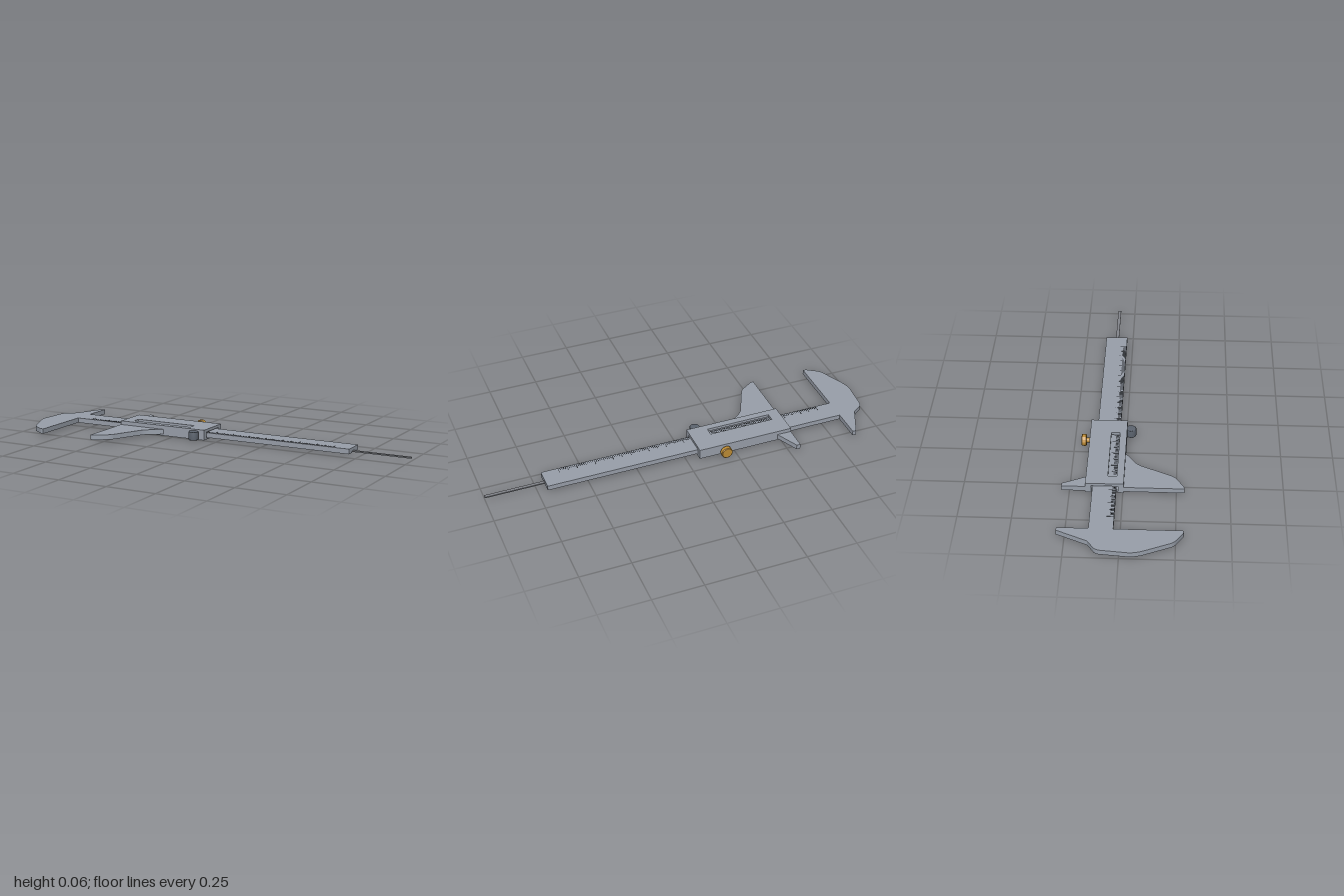
import * as THREE from 'three';
import { mergeGeometries } from 'three/addons/utils/BufferGeometryUtils.js';

const mat = (name, color) => {
  const m = new THREE.MeshStandardMaterial({ color });
  m.name = name;
  return m;
};

export function createModel() {
  const steel = mat('steel', 0x99a0ab);
  const darkSteel = mat('dark steel', 0x5d6570);
  const rodSteel = mat('rod steel', 0x83868c);
  const brass = mat('brass', 0xbd8c35);
  const ink = mat('scale ink', 0x24262a);

  const model = new THREE.Group();
  model.name = 'caliper';
  const add = (name, geometry, material, parent = model) => {
    const mesh = new THREE.Mesh(geometry, material);
    mesh.name = name;
    parent.add(mesh);
    return mesh;
  };
  // Box given by its limits on each axis
  const box = (x0, x1, y0, y1, z0, z1) =>
    new THREE.BoxGeometry(x1 - x0, y1 - y0, z1 - z0)
      .translate((x0 + x1) / 2, (y0 + y1) / 2, (z0 + z1) / 2);
  // Plan outline in x and -z, raised from y0 to y1
  const plate = (shape, y0, y1) =>
    new THREE.ExtrudeGeometry(shape, { depth: y1 - y0, bevelEnabled: false, curveSegments: 10 })
      .rotateX(-Math.PI / 2).translate(0, y0, 0);
  const outline = (pts) => new THREE.Shape(pts.map(([x, z]) => new THREE.Vector2(x, -z)));

  const low = 0.0125, high = 0.0375;
  const beamBack = -0.142, beamFront = -0.03, rodZ = -0.084;

  // Beam with a groove along its underside
  const section = new THREE.Shape([
    [-beamFront, low], [-rodZ - 0.013, low], [-rodZ - 0.013, 0.019], [-rodZ - 0.01, 0.022],
    [-rodZ + 0.01, 0.022], [-rodZ + 0.013, 0.019], [-rodZ + 0.013, low],
    [-beamBack, low], [-beamBack, high], [-beamFront, high],
  ].map(([x, y]) => new THREE.Vector2(x, y)));
  add('beam', new THREE.ExtrudeGeometry(section, { depth: 1.55, bevelEnabled: false })
    .rotateY(Math.PI / 2).translate(-0.845, 0, 0), steel);

  // Fixed jaw, both tips in one outline
  const fixed = new THREE.Shape();
  fixed.moveTo(-0.845, 0.287);
  fixed.lineTo(-0.864, 0.287);
  fixed.lineTo(-0.93, 0.142);
  fixed.lineTo(-0.975, 0.112);
  fixed.quadraticCurveTo(-0.986, 0.1, -0.988, 0.085);
  fixed.lineTo(-1, -0.045);
  fixed.quadraticCurveTo(-0.999, -0.075, -0.985, -0.11);
  fixed.lineTo(-0.932, -0.228);
  fixed.quadraticCurveTo(-0.924, -0.244, -0.91, -0.253);
  fixed.lineTo(-0.866, -0.282);
  fixed.quadraticCurveTo(-0.858, -0.287, -0.845, -0.287);
  add('fixedJaw', plate(fixed, low, high), steel);

  // Scale marks, longer at every fifth and tenth
  const marks = [];
  for (let i = 0; i <= 150; i++) {
    const x = -0.76 + i * 0.0092;
    const length = i % 10 === 0 ? 0.032 : i % 5 === 0 ? 0.024 : 0.016;
    marks.push(box(x - 0.0013, x + 0.0013, high, high + 0.001, beamFront - 0.002 - length, beamFront - 0.002));
  }
  add('scaleMarks', mergeGeometries(marks), ink);

  // Sliding frame: a sleeve round the beam with a window on top
  const slider = new THREE.Group();
  slider.name = 'slider';
  model.add(slider);
  const x0 = -0.555, x1 = -0.064, back = -0.175, front = 0.004;
  add('frameBase', box(x0, x1, 0.005, 0.011, back, front), steel, slider);
  add('frameFrontWall', box(x0, x1, 0.011, 0.043, -0.023, front), steel, slider);
  add('frameBackWall', box(x0, x1, 0.011, 0.043, back, -0.147), steel, slider);
  const top = outline([[x0, back], [x1, back], [x1, front], [x0, front]]);
  top.holes.push(outline([[-0.497, -0.072], [-0.497, -0.03], [-0.163, -0.03], [-0.163, -0.072]]));
  add('frameTop', plate(top, 0.043, 0.057), steel, slider);

  // Moving jaws
  add('innerJaw', plate(outline([
    [x0, -0.16], [x0, -0.287], [-0.535, -0.287], [-0.482, -0.174], [-0.482, -0.16],
  ]), low, high), steel, slider);
  const outer = new THREE.Shape();
  outer.moveTo(x0, 0.01);
  outer.lineTo(x0, -0.287);
  outer.quadraticCurveTo(-0.542, -0.287, -0.534, -0.282);
  outer.lineTo(-0.482, -0.25);
  outer.quadraticCurveTo(-0.468, -0.24, -0.46, -0.225);
  outer.lineTo(-0.392, -0.082);
  outer.quadraticCurveTo(-0.382, -0.062, -0.362, -0.048);
  outer.lineTo(-0.295, 0);
  outer.lineTo(-0.295, 0.01);
  add('outerJaw', plate(outer, low, high), steel, slider);

  // Thumb grip: upright roller with softened rims
  const grip = [[0, 0.007], [0.023, 0.007], [0.026, 0.01], [0.026, 0.047], [0.023, 0.05], [0, 0.05]];
  const gripShape = new THREE.LatheGeometry(grip.map(([r, y]) => new THREE.Vector2(r, y)), 24);
  add('thumbGrip', gripShape.translate(-0.115, 0, 0.022), darkSteel, slider);

  // Lock screw: shank and faceted knob pointing backward
  const screw = new THREE.Group();
  screw.name = 'lockScrew';
  screw.position.set(-0.194, 0.031, 0);
  slider.add(screw);
  const turned = (r0, r1, z0, z1, sides) => new THREE.CylinderGeometry(r0, r1, z1 - z0, sides)
    .rotateX(Math.PI / 2).translate(0, 0, (z0 + z1) / 2).toNonIndexed();
  const faceted = (g) => { g.computeVertexNormals(); return g; };
  add('screwShank', turned(0.012, 0.012, -0.193, -0.17, 20), brass, screw);
  add('screwKnob', faceted(mergeGeometries([
    turned(0.0295, 0.026, -0.215, -0.212, 14),
    turned(0.0295, 0.0295, -0.212, -0.194, 14),
    turned(0.026, 0.0295, -0.194, -0.191, 14),
  ])), brass, screw);

  // Depth rod running in the groove, fixed to the frame base
  add('depthRod', box(-0.15, 1, 0.0145, 0.0205, rodZ - 0.008, rodZ + 0.008), rodSteel);
  add('rodAnchor', box(-0.15, -0.09, 0.011, 0.0145, rodZ - 0.008, rodZ + 0.008), rodSteel);

  return model;
}
